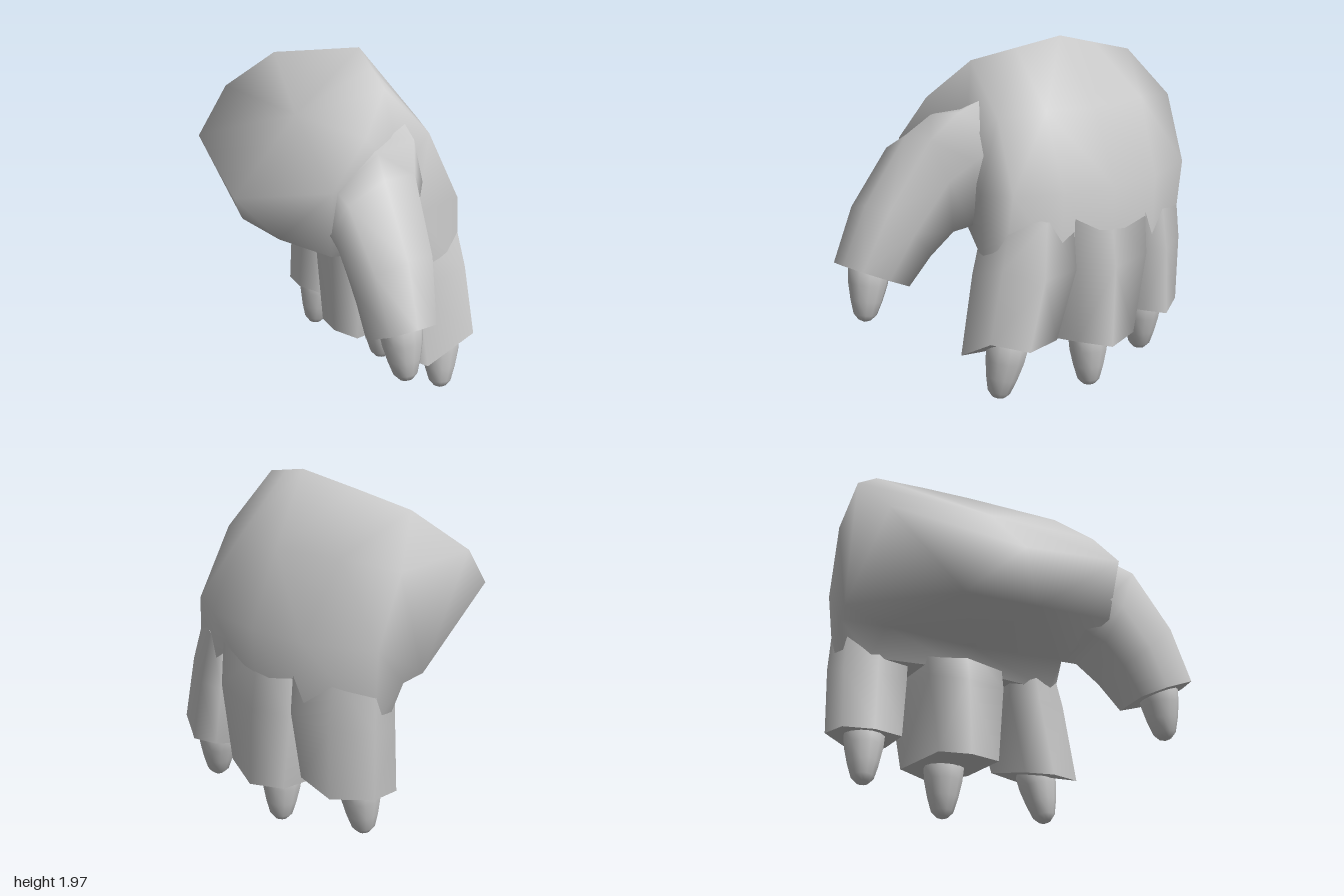
import * as THREE from 'three';

const material = new THREE.MeshStandardMaterial({ color: 0xcccccc, side: THREE.DoubleSide });

// Skin a list of equal-length rings; the first cap can be smooth with a given center.
function loft(name, rings, smoothCenter = null) {
  const n = rings[0].length;
  const pos = rings.flat();
  const idx = [];
  const dist = (i, j) => Math.hypot(...pos[i].map((c, k) => c - pos[j][k]));
  for (let r = 0; r < rings.length - 1; r++) {
    for (let i = 0; i < n; i++) {
      const a = r * n + i, b = r * n + (i + 1) % n;
      // Split each quad along its shorter diagonal
      if (dist(b, a + n) <= dist(a, b + n)) idx.push(a, b, a + n, b, b + n, a + n);
      else idx.push(a, b, b + n, a, b + n, a + n);
    }
  }
  const average = ring => [0, 1, 2].map(k => ring.reduce((s, p) => s + p[k], 0) / n);
  const cap = (start, center, flip) => {
    const c = pos.push(center) - 1;
    for (let i = 0; i < n; i++) {
      const a = start + i, b = start + (i + 1) % n;
      if (flip) idx.push(c, b, a); else idx.push(c, a, b);
    }
  };
  const hardRim = ring => pos.push(...ring) - n;
  const first = rings[0], last = rings[rings.length - 1];
  cap(smoothCenter ? 0 : hardRim(first), smoothCenter || average(first), true);
  cap(hardRim(last), average(last), false);

  // Turn the faces outward if the enclosed volume is negative
  const v = pos.map(p => new THREE.Vector3(...p));
  let volume = 0;
  for (let i = 0; i < idx.length; i += 3) {
    volume += v[idx[i]].dot(v[idx[i + 1]].clone().cross(v[idx[i + 2]]));
  }
  if (volume < 0) idx.reverse();

  const g = new THREE.BufferGeometry();
  g.setAttribute('position', new THREE.Float32BufferAttribute(pos.flat(), 3));
  g.setIndex(idx);
  g.computeVertexNormals();
  const mesh = new THREE.Mesh(g, material);
  mesh.name = name;
  return mesh;
}

// Finger section: outer x at front, middle and back, inner x, front z, back z, outer and inner height
function fingerRing([xf, xm, xb, xi, zf, zb, yo, yi]) {
  const m = (zf + zb) / 2, q = (zf - zb) * 0.08;
  return [
    [xm, yo - 0.06, m],
    [xf, yo, zf],
    [xi + 0.04, yi, zf - q],
    [xi, yi, m],
    [xi + 0.04, yi, zb + q],
    [xb, yo - 0.03, zb],
  ];
}

// Thumb section: left and right x, top y and z, bottom y and z, drop towards the left
function thumbRing([xl, xr, yt, zt, yb, zb, drop]) {
  const at = (f, t) => [xl + (xr - xl) * f, yt + (yb - yt) * t - drop * (1 - f) * (1 - t), zt + (zb - zt) * t];
  return [at(0.45, 0), at(0.85, 0.1), at(1, 0.5), at(0.85, 1), at(0.2, 1), at(0, 0.6), at(0.03, 0.1)];
}

// Blunt claw hanging from its root towards its tip
function claw(name, root, tip) {
  const a = new THREE.Vector3(...root), b = new THREE.Vector3(...tip);
  const len = a.distanceTo(b);
  const profile = [[0.1, -0.12], [0.115, 0.05], [0.108, 0.3], [0.088, 0.6], [0.064, 0.86], [0.035, 0.96], [0, 1]]
    .map(([r, t]) => new THREE.Vector2(r, -t * len)).reverse();
  const mesh = new THREE.Mesh(new THREE.LatheGeometry(profile, 12), material);
  mesh.position.copy(a);
  mesh.quaternion.setFromUnitVectors(new THREE.Vector3(0, -1, 0), b.sub(a).normalize());
  mesh.name = name;
  return mesh;
}

export function createModel() {
  const hand = new THREE.Group();
  hand.name = 'clawedHand';

  // Palm: slanted wrist outline, heel and back of the hand, knuckle line, finger roots
  hand.add(loft('palm', [
    [[0.2, 1.98, -0.15], [0.11, 1.92, 0.09], [0.02, 1.86, 0.33], [-0.2, 1.65, 0.47], [-0.43, 1.4, 0.5],
      [-0.62, 1.23, -0.18], [-0.43, 1.4, -0.9], [-0.18, 1.65, -1.0], [0.05, 1.86, -0.81], [0.12, 1.92, -0.48]],
    [[0.43, 1.6, -0.2], [0.41, 1.6, 0.12], [0.3, 1.58, 0.37], [0.08, 1.4, 0.42], [-0.4, 1.03, 0.44],
      [-0.43, 1.0, -0.02], [-0.41, 1.0, -0.45], [0.08, 1.03, -0.95], [0.25, 1.6, -0.95], [0.36, 1.62, -0.62]],
    [[0.6, 1.19, -0.2], [0.59, 1.19, 0.15], [0.48, 1.19, 0.41], [0.2, 1.15, 0.41], [0.05, 0.95, 0.38],
      [0.05, 0.92, -0.2], [0.08, 0.95, -0.7], [0.2, 1.0, -0.93], [0.39, 1.22, -0.94], [0.56, 1.2, -0.55]],
    [[0.58, 0.8, -0.2], [0.57, 0.8, 0.15], [0.46, 0.8, 0.45], [0.25, 0.8, 0.43], [0.17, 0.8, 0.36],
      [0.11, 0.8, -0.2], [0.19, 0.8, -0.75], [0.25, 0.8, -0.88], [0.37, 0.8, -0.9], [0.54, 0.8, -0.55]],
  ], [-0.2, 1.64, -0.2]));

  // Three fingers, front to back, rooted just under the surface of the palm
  const fingers = {
    frontFinger: [
      [0.46, 0.55, 0.57, 0.12, 0.4, 0.07, 1.1, 0.95],
      [0.485, 0.59, 0.605, 0.14, 0.485, 0.075, 0.8, 0.72],
      [0.49, 0.58, 0.57, 0.15, 0.57, 0.18, 0.42, 0.28],
    ],
    middleFinger: [
      [0.58, 0.575, 0.55, 0.1, 0.07, -0.48, 1.1, 0.95],
      [0.605, 0.615, 0.575, 0.05, 0.067, -0.477, 0.8, 0.72],
      [0.57, 0.62, 0.56, 0.05, 0.03, -0.4, 0.35, 0.28],
    ],
    backFinger: [
      [0.55, 0.47, 0.37, 0.17, -0.48, -0.91, 1.1, 0.98],
      [0.575, 0.51, 0.39, 0.17, -0.482, -0.925, 0.8, 0.72],
      [0.53, 0.51, 0.38, 0.15, -0.51, -0.92, 0.42, 0.37],
    ],
  };
  for (const [name, rows] of Object.entries(fingers)) hand.add(loft(name, rows.map(fingerRing)));

  // Thumb, growing out of the front of the palm
  hand.add(loft('thumb', [
    [-0.39, 0.25, 1.82, 0.29, 1.08, 0.25, 0.4],
    [-0.41, 0.2, 1.71, 0.49, 0.97, 0.4, 0.27],
    [-0.42, 0.1, 1.53, 0.62, 0.93, 0.46, 0.13],
    [-0.42, 0.03, 1.11, 0.87, 0.8, 0.57, 0.03],
    [-0.41, -0.05, 0.77, 1.0, 0.63, 0.67, 0],
  ].map(thumbRing)));

  // Claws
  hand.add(claw('thumbClaw', [-0.24, 0.74, 0.84], [-0.23, 0.44, 0.885]));
  hand.add(claw('frontClaw', [0.4, 0.37, 0.38], [0.37, 0.06, 0.43]));
  hand.add(claw('middleClaw', [0.4, 0.32, -0.2], [0.41, 0.01, -0.2]));
  hand.add(claw('backClaw', [0.3, 0.4, -0.72], [0.27, 0.09, -0.73]));
  return hand;
}
